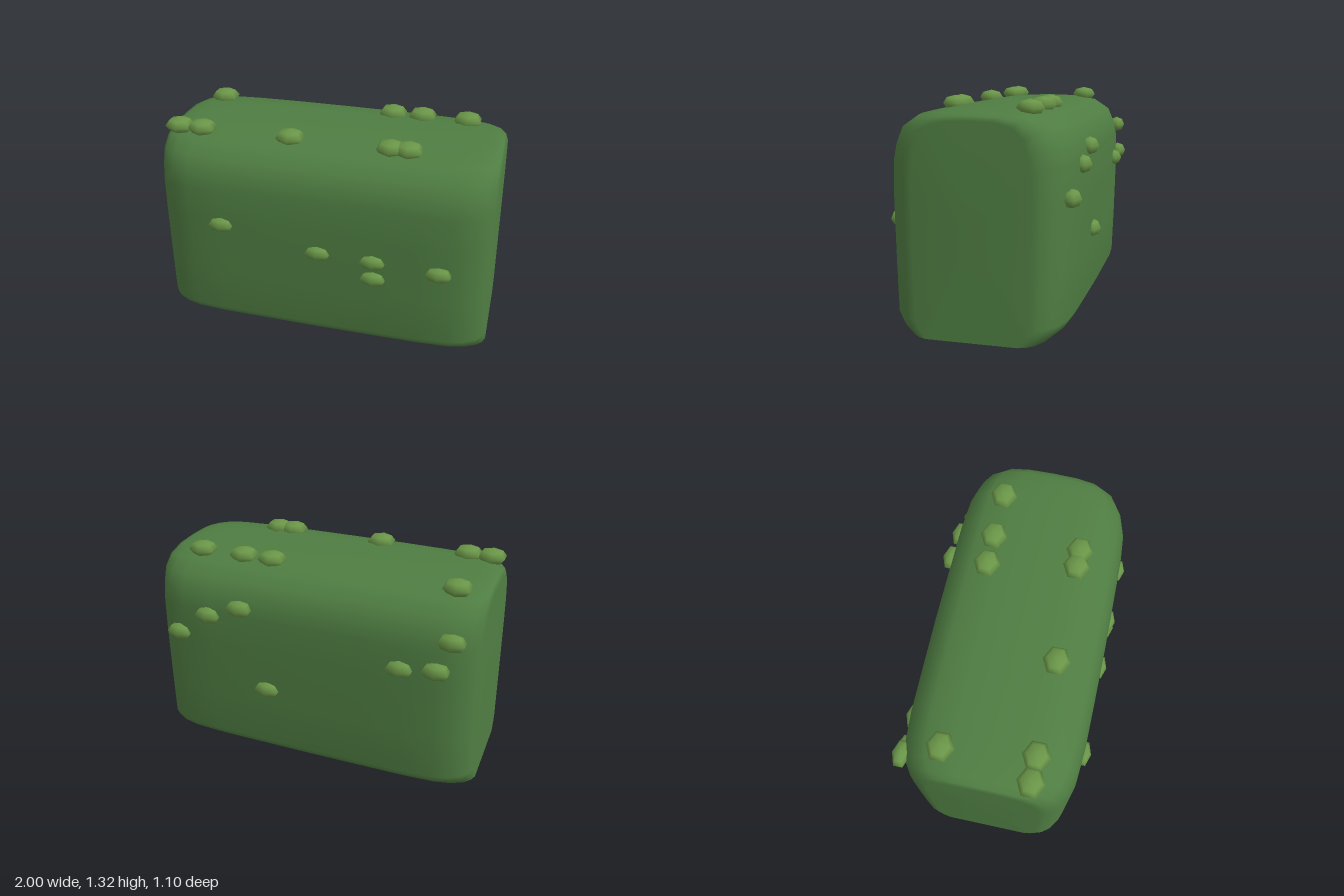
import * as THREE from 'three';

const BASE = 0.07;

// Half cross-section of the hedge as [z, y], from the bottom front edge up to the ridge
const halfProfile = [
  [0.40, 0.07], [0.46, 0.12], [0.49, 0.17], [0.50, 0.45], [0.508, 0.8], [0.505, 1.0],
  [0.485, 1.09], [0.445, 1.18], [0.35, 1.24], [0.2, 1.265], [0, 1.27],
];

// Half the length as [x, depth scale, height scale], from the middle to the end
const halfStations = [
  [0, 1, 1], [0.35, 0.995, 1], [0.6, 0.99, 0.998], [0.78, 0.965, 0.996], [0.88, 0.91, 0.993],
  [0.95, 0.82, 0.987], [0.985, 0.72, 0.975], [1.0, 0.62, 0.955],
];

function hedgeGeometry() {
  const ring = [...halfProfile, ...halfProfile.slice(0, -1).reverse().map(([z, y]) => [-z, y])];
  const stations = [...halfStations.slice(1).reverse().map(([x, d, h]) => [-x, d, h]), ...halfStations];
  const n = ring.length, m = stations.length;
  const pos = [], index = [];

  // Skin lofted along x; the ends lean in slightly toward the top
  for (const [x, d, h] of stations) {
    for (const [z, y] of ring) {
      const yy = BASE + (y - BASE) * h;
      pos.push(x * (1 - 0.018 * yy), yy, z * d);
    }
  }
  for (let i = 0; i < m - 1; i++) {
    for (let j = 0; j < n - 1; j++) {
      const a = i * n + j, b = a + n;
      index.push(a, b, b + 1, a, b + 1, a + 1);
    }
  }

  // End faces, sharing the outer ring so the corners stay soft
  for (const side of [-1, 1]) {
    const first = side > 0 ? (m - 1) * n : 0;
    const centre = pos.length / 3;
    pos.push(side * 0.992, 0.65, 0);
    for (let j = 0; j < n; j++) {
      const a = first + j, b = first + ((j + 1) % n);
      if (side > 0) index.push(centre, b, a);
      else index.push(centre, a, b);
    }
  }

  // Flat underside with its own vertices for a crisp edge
  const start = pos.length / 3;
  for (const [x, d] of stations) {
    const z = ring[0][0] * d, px = x * (1 - 0.018 * BASE);
    pos.push(px, BASE, z, px, BASE, -z);
  }
  for (let i = 0; i < m - 1; i++) {
    const f = start + 2 * i;
    index.push(f, f + 1, f + 3, f, f + 3, f + 2);
  }

  const g = new THREE.BufferGeometry();
  g.setAttribute('position', new THREE.Float32BufferAttribute(pos, 3));
  g.setIndex(index);
  g.computeVertexNormals();
  return g;
}

export function createModel() {
  const model = new THREE.Group();
  const hedgeMat = new THREE.MeshStandardMaterial({ color: 0x4f7d42 });
  const leafMat = new THREE.MeshStandardMaterial({ color: 0x6a9648 });
  const stemMat = new THREE.MeshStandardMaterial({ color: 0x5a4436 });

  const body = new THREE.Mesh(hedgeGeometry(), hedgeMat);
  body.name = 'hedgeBody';
  model.add(body);

  // Six-sided leaf clumps, each with a corner toward the front
  const clumpGeo = new THREE.SphereGeometry(1, 6, 4).rotateY(Math.PI / 6);
  function addClumps(name, places, [rx, ry, rz]) {
    const group = new THREE.Group();
    group.name = name;
    for (const [x, y, z] of places) {
      const clump = new THREE.Mesh(clumpGeo, leafMat);
      clump.name = 'leafClump';
      clump.position.set(x, y, z);
      clump.scale.set(rx, ry, rz);
      group.add(clump);
    }
    model.add(group);
  }

  const top = [
    ...[-0.885, -0.745, -0.21, 0.37, 0.47].map((x) => [x, 1.272, 0.25]),
    ...[-0.8, 0.285, 0.465, 0.735].map((x) => [x, 1.272, -0.25]),
  ];
  addClumps('topLeafClumps', top, [0.088, 0.046, 0.077]);

  const front = [[-0.565, 0.785], [0.015, 0.685], [0.335, 0.675], [0.34, 0.565], [0.71, 0.655]];
  addClumps('frontLeafClumps', front.map(([x, y]) => [x, y, 0.502]), [0.082, 0.045, 0.045]);

  const back = [
    [0.8, 0.82, -0.485], [0.59, 0.97, -0.5], [0.385, 1.045, -0.5], [0.23, 0.545, -0.495],
    [-0.57, 0.86, -0.5], [-0.77, 0.885, -0.5], [-0.84, 1.06, -0.48],
  ];
  addClumps('backLeafClumps', back, [0.085, 0.05, 0.052]);

  // Row of short stems under the hedge
  const stems = new THREE.Group();
  stems.name = 'stems';
  const stemGeo = new THREE.CylinderGeometry(0.015, 0.019, 0.14, 6).translate(0, 0.07, 0);
  const stemPlaces = [
    [-0.79, 0.07], [-0.465, -0.09], [-0.235, -0.08], [-0.065, -0.065],
    [0.21, 0.02], [0.52, 0.035], [0.785, -0.055],
  ];
  stemPlaces.forEach(([x, z], i) => {
    const stem = new THREE.Mesh(stemGeo, stemMat);
    stem.name = 'stem';
    stem.position.set(x, 0, z);
    stem.rotation.y = i * 0.7;
    stems.add(stem);
  });
  model.add(stems);

  return model;
}
